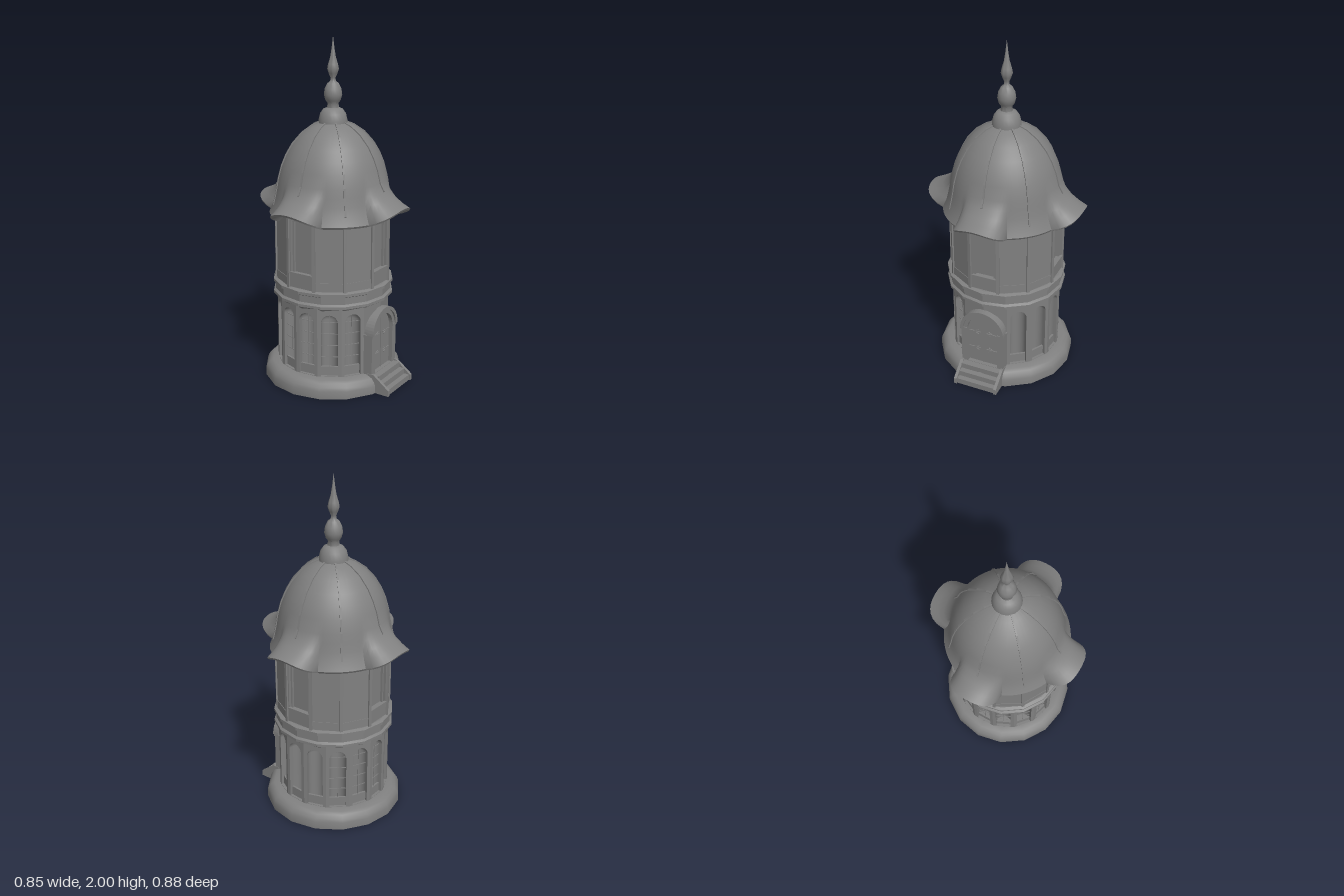
import * as THREE from 'three';
import { toCreasedNormals } from 'three/addons/utils/BufferGeometryUtils.js';

const RAD = Math.PI / 180;
const mat = new THREE.MeshStandardMaterial({ color: 0x808080, side: THREE.DoubleSide });

function add(parent, name, geo, x = 0, y = 0, z = 0) {
  const m = new THREE.Mesh(geo, mat);
  m.name = name;
  m.position.set(x, y, z);
  parent.add(m);
  return m;
}
const box = (p, name, w, h, d, x, y, z) => add(p, name, new THREE.BoxGeometry(w, h, d), x, y, z);

// group turned about the tower axis, its +z pointing outward
function bay(parent, name, deg) {
  const g = new THREE.Group();
  g.name = name;
  g.rotation.y = deg * RAD;
  parent.add(g);
  return g;
}

function lathe(parent, name, pts, sides, crease = 0.6) {
  const geo = new THREE.LatheGeometry(pts.map(p => new THREE.Vector2(...p)), sides);
  return add(parent, name, toCreasedNormals(geo, crease));
}

// round-headed outline
function archPath(path, half, y0, spring, r = half) {
  path.moveTo(-half, y0);
  path.lineTo(half, y0);
  path.lineTo(half, spring);
  path.lineTo(r, spring);
  path.absarc(0, spring, r, 0, Math.PI, false);
  path.lineTo(-half, spring);
  path.lineTo(-half, y0);
  return path;
}
const extrude = (shape, depth) =>
  new THREE.ExtrudeGeometry(shape, { depth, bevelEnabled: false, curveSegments: 12 });

// flat wall panel with an arched opening
function archedPanel(w, y0, y1, half, sill, spring, depth) {
  const s = new THREE.Shape([[-w, y0], [w, y0], [w, y1], [-w, y1]].map(p => new THREE.Vector2(p[0] / 2, p[1])));
  s.holes.push(archPath(new THREE.Path(), half, sill, spring));
  return extrude(s, depth);
}

// half-round niche with a domed head
function niche(g, r, y0, spring, z) {
  add(g, 'nicheWall', new THREE.CylinderGeometry(r, r, spring - y0, 12, 1, true, Math.PI / 2, Math.PI), 0, (y0 + spring) / 2, z);
  add(g, 'nicheHead', new THREE.SphereGeometry(r, 12, 6, Math.PI, Math.PI, 0, Math.PI / 2), 0, spring, z);
  add(g, 'nicheFloor', new THREE.CircleGeometry(r, 12, 0, Math.PI).rotateX(-Math.PI / 2), 0, y0, z);
}

function groundFloor(tower) {
  const a = 0.322, w = 2 * a * Math.tan(12 * RAD);
  for (let k = 0; k < 15; k++) {
    const g = bay(tower, 'groundFloorBay', 12 + 24 * k);
    if (k === 0 || k === 14) {
      box(g, 'doorWall', w, 0.42, 0.02, 0, 0.31, a - 0.01);
      continue;
    }
    add(g, 'arcadeWall', archedPanel(w, 0.1, 0.52, 0.048, 0.102, 0.427, 0.02), 0, 0, a - 0.02);
    niche(g, 0.048, 0.102, 0.427, a - 0.02);
    box(g, 'sill', 0.096, 0.055, 0.012, 0, 0.129, a - 0.022);
    // the first four niches are plain, the rest have thin window bars
    if (k > 4) {
      box(g, 'mullion', 0.003, 0.32, 0.004, 0, 0.31, a - 0.022);
      for (let i = 0; i < 4; i++) box(g, 'glazingBar', 0.096, 0.003, 0.004, 0, 0.215 + i * 0.07, a - 0.022);
    }
  }
}

function entrance(tower) {
  const g = bay(tower, 'entrance', 0);
  // portal surround
  const s = archPath(new THREE.Shape(), 0.134, 0.1, 0.34, 0.13);
  s.holes.push(archPath(new THREE.Path(), 0.095, 0.102, 0.34));
  add(g, 'portal', extrude(s, 0.055), 0, 0, 0.3);
  const ring = new THREE.Shape().absarc(0, 0, 0.138, 0, Math.PI, false);
  ring.absarc(0, 0, 0.118, Math.PI, 0, true);
  add(g, 'archMoulding', extrude(ring, 0.04), 0, 0.34, 0.325);
  // double door with strap hinges
  add(g, 'door', extrude(archPath(new THREE.Shape(), 0.096, 0.1, 0.34), 0.02), 0, 0, 0.311);
  box(g, 'doorMeetingRail', 0.006, 0.325, 0.006, 0, 0.265, 0.333);
  for (const side of [-1, 1]) {
    box(g, 'impost', 0.042, 0.016, 0.06, side * 0.117, 0.335, 0.33);
    for (const y of [0.2, 0.315]) {
      box(g, 'hinge', 0.075, 0.006, 0.006, side * 0.055, y, 0.333);
      for (const t of [-1, 1]) box(g, 'hingeScroll', 0.03, 0.004, 0.006, side * 0.045, y + t * 0.009, 0.333).rotation.z = t * side * -0.5;
    }
    // sloping stair cheek
    const cheek = new THREE.Shape([[0.33, 0], [0.468, 0], [0.468, 0.035], [0.37, 0.108], [0.33, 0.108]].map(p => new THREE.Vector2(...p)));
    add(g, 'stairCheek', extrude(cheek, 0.018).rotateY(-Math.PI / 2), side * 0.128 + 0.009);
  }
  [0.395, 0.428, 0.46].forEach((d, i) => {
    const h = 0.1 - i * 0.033;
    box(g, 'step', 0.24, h, d - 0.34, 0, h / 2, (d + 0.34) / 2);
  });
}

function upperFloor(tower) {
  const R = 0.333, a = R * Math.cos(15 * RAD), w = 2 * R * Math.sin(15 * RAD);
  for (let k = 0; k < 12; k++) {
    const g = bay(tower, 'upperFloorBay', 30 * k);
    if (k % 3 === 0) {
      add(g, 'windowWall', archedPanel(w, 0.61, 1.1, 0.07, 0.7, 1.005, 0.03), 0, 0, a - 0.03);
      box(g, 'glass', w, 0.48, 0.006, 0, 0.85, a - 0.032);
      box(g, 'parapet', 0.15, 0.01, 0.014, 0, 0.7, a);
      box(g, 'transom', 0.14, 0.008, 0.012, 0, 1.0, a - 0.02);
      for (const s of [-1, 1]) box(g, 'windowFrame', 0.01, 0.3, 0.014, s * 0.061, 0.85, a - 0.02);
      for (let i = 1; i < 5; i++) {
        const t = i * Math.PI / 5;
        box(g, 'fanlightBar', 0.07, 0.005, 0.01, 0.035 * Math.cos(t), 1.003 + 0.035 * Math.sin(t), a - 0.024).rotation.z = t;
      }
    } else {
      box(g, 'wall', w, 0.44, 0.02, 0, 0.83, a - 0.01);
      box(g, 'skirting', w, 0.05, 0.006, 0, 0.64, a);
    }
    const p = bay(tower, 'post', 30 * k + 15);
    box(p, 'post', 0.018, 0.43, 0.02, 0, 0.82, R - 0.003);
  }
}

// dome profile (radius, height), shared with the ribs
const DOME = [[0.06, 1.524], [0.12, 1.5], [0.18, 1.458], [0.235, 1.395], [0.27, 1.335], [0.295, 1.275], [0.315, 1.2]];
// eave from dome to rim, lip and soffit: plain side and raised corner
const EAVE = [[0.323, 1.15], [0.333, 1.1], [0.345, 1.05], [0.367, 1.0], [0.36, 0.988], [0.31, 1.02]];
const LOBE = [[0.34, 1.155], [0.38, 1.12], [0.425, 1.097], [0.472, 1.078], [0.466, 1.066], [0.31, 1.12]];

function roof(tower) {
  const N = 120, pos = [], idx = [], rows = DOME.length + EAVE.length;
  for (let i = 0; i <= N; i++) {
    const deg = i * 360 / N, off = ((deg + 45) % 90) - 45;
    // the corner spreads broadly outward while its edge rises in a softer arch
    const q = Math.min(1, Math.abs(off) / 24), lift = [1 - q ** 4, 1 - q ** 2];
    const prof = DOME.concat(EAVE.map((e, j) => e.map((v, c) => v + (LOBE[j][c] - v) * lift[c])));
    for (const [r, y] of prof) pos.push(r * Math.sin(deg * RAD), y, r * Math.cos(deg * RAD));
  }
  for (let i = 0; i < N; i++) for (let j = 0; j < rows - 1; j++) {
    const a = i * rows + j, b = a + rows;
    idx.push(a, a + 1, b, b, a + 1, b + 1);
  }
  const geo = new THREE.BufferGeometry();
  geo.setAttribute('position', new THREE.Float32BufferAttribute(pos, 3));
  geo.setIndex(idx);
  add(tower, 'domeRoof', toCreasedNormals(geo, 0.7));

  // raised ribs
  for (let k = 0; k < 8; k++) {
    const line = DOME.concat((k % 2 ? EAVE : LOBE).slice(0, k % 2 ? 3 : 1));
    const outer = line.map(([r, y]) => new THREE.Vector2(r + 0.005, y + 0.004));
    const inner = line.map(([r, y]) => new THREE.Vector2(r - 0.01, y - 0.008)).reverse();
    const rib = extrude(new THREE.Shape(outer.concat(inner)), 0.01).translate(0, 0, -0.005).rotateY(-Math.PI / 2);
    add(bay(tower, 'roofRib', 45 * k), 'roofRib', rib);
  }

  // finial
  const fin = [[0.0, 1.51], [0.083, 1.51], [0.082, 1.53], [0.073, 1.567], [0.055, 1.592], [0.034, 1.6], [0.031, 1.625],
    [0.043, 1.64], [0.052, 1.672], [0.047, 1.705], [0.032, 1.735], [0.016, 1.748], [0.014, 1.765],
    [0.025, 1.79], [0.033, 1.815], [0.028, 1.84], [0.016, 1.88], [0.008, 1.93], [0, 2]];
  lathe(tower, 'finial', fin, 24, 0.9);
}

export function createModel() {
  const model = new THREE.Group();
  model.name = 'tower';
  const tower = bay(model, 'towerBody', 37);
  tower.position.z = -0.025;

  lathe(tower, 'base', [[0, 0.08], [0.32, 0.08], [0.385, 0], [0.408, 0], [0.408, 0.045], [0.4, 0.065], [0.385, 0.085], [0.365, 0.096], [0.32, 0.1], [0, 0.1]], 16);
  groundFloor(tower);
  entrance(tower);
  lathe(tower, 'cornice', [[0, 0.5], [0.325, 0.5], [0.335, 0.515], [0.353, 0.52], [0.353, 0.535], [0.34, 0.545], [0.34, 0.585], [0.353, 0.592], [0.353, 0.608], [0.335, 0.615], [0, 0.615]], 16, 0.3);
  upperFloor(tower);
  roof(tower);
  return model;
}
